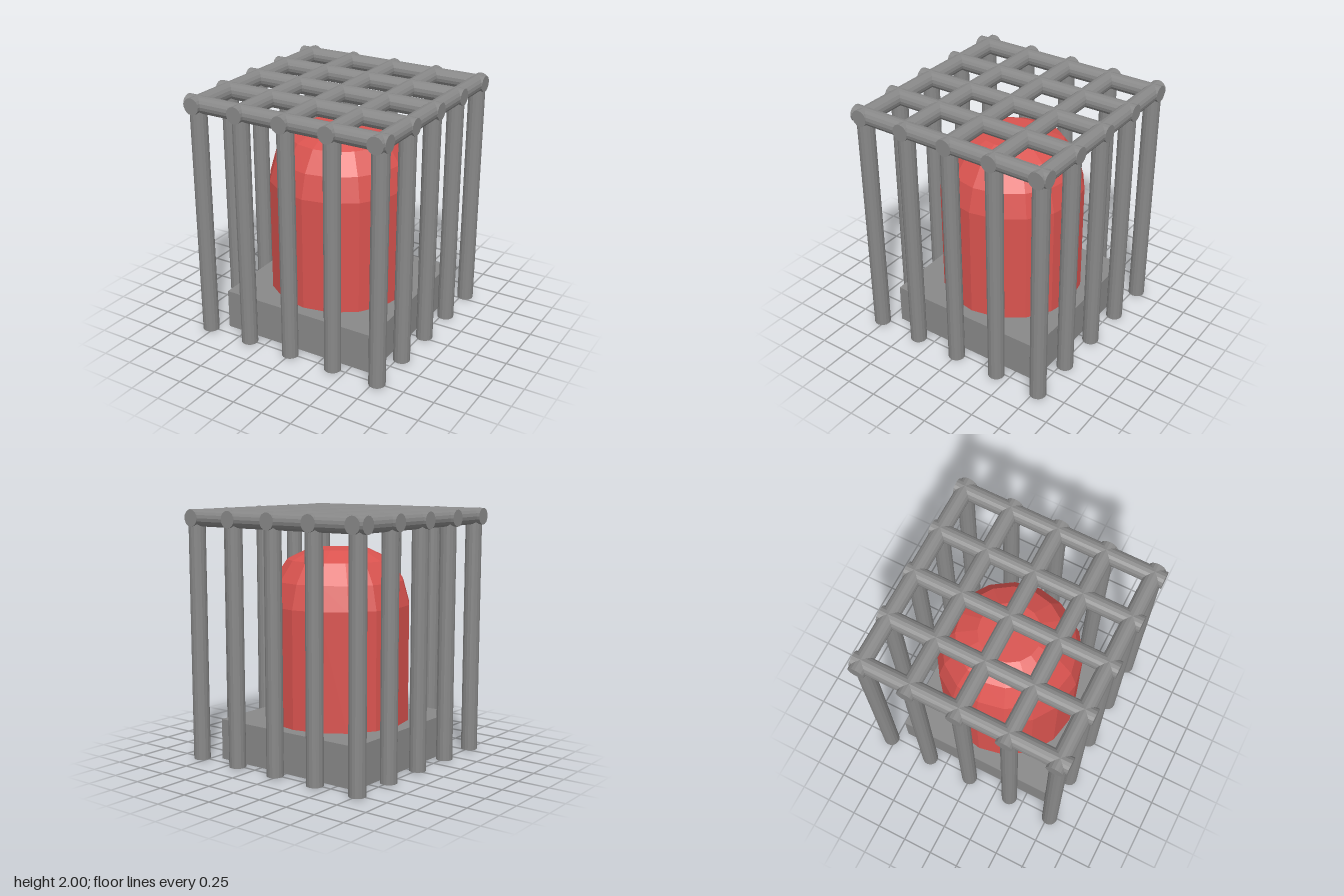
import * as THREE from 'three';

export function createModel() {
  const model = new THREE.Group();
  model.name = 'cagedCapsule';
  const grey = new THREE.MeshStandardMaterial({ color: 0x888888, flatShading: true });
  const red = new THREE.MeshStandardMaterial({ color: 0xd9534f, flatShading: true });

  const add = (name, geometry, material, x, y, z, parent = model) => {
    const mesh = new THREE.Mesh(geometry, material);
    mesh.name = name;
    mesh.position.set(x, y, z);
    parent.add(mesh);
    return mesh;
  };

  // Square plinth
  add('base', new THREE.BoxGeometry(1.335, 0.327, 1.335), grey, 0.002, 0.1635, -0.007);

  // Faceted capsule with a flat-topped dome
  const profile = [[0, 0.3], [0.573, 0.3], [0.573, 1.255], [0.52, 1.445], [0.41, 1.605], [0.24, 1.687], [0, 1.687]]
    .map(([r, y]) => new THREE.Vector2(r, y));
  add('capsule', new THREE.LatheGeometry(profile, 16), red, 0.002, 0, -0.008);

  // Cage: a grid of roof bars carried by posts around the perimeter
  const cage = new THREE.Group();
  cage.name = 'cage';
  model.add(cage);
  const radius = 0.066, barY = 2 - radius, count = 5, step = 0.3885, floorGap = 0.01;
  const roofBar = new THREE.CylinderGeometry(radius, radius, 1.71, 16);
  const post = new THREE.CylinderGeometry(radius, radius, barY - floorGap, 16);
  const xAt = i => -0.768 + step * i;
  const zAt = i => -0.785 + step * i;

  for (let i = 0; i < count; i++) {
    add('roofBarLengthwise', roofBar, grey, xAt(i), barY, 0, cage).rotation.x = Math.PI / 2;
    add('roofBarCrosswise', roofBar, grey, 0, barY, zAt(i), cage).rotation.z = Math.PI / 2;
    for (let j = 0; j < count; j++) {
      const onEdge = i % (count - 1) === 0 || j % (count - 1) === 0;
      if (onEdge) add('post', post, grey, xAt(i), (barY + floorGap) / 2, zAt(j), cage);
    }
  }
  return model;
}
